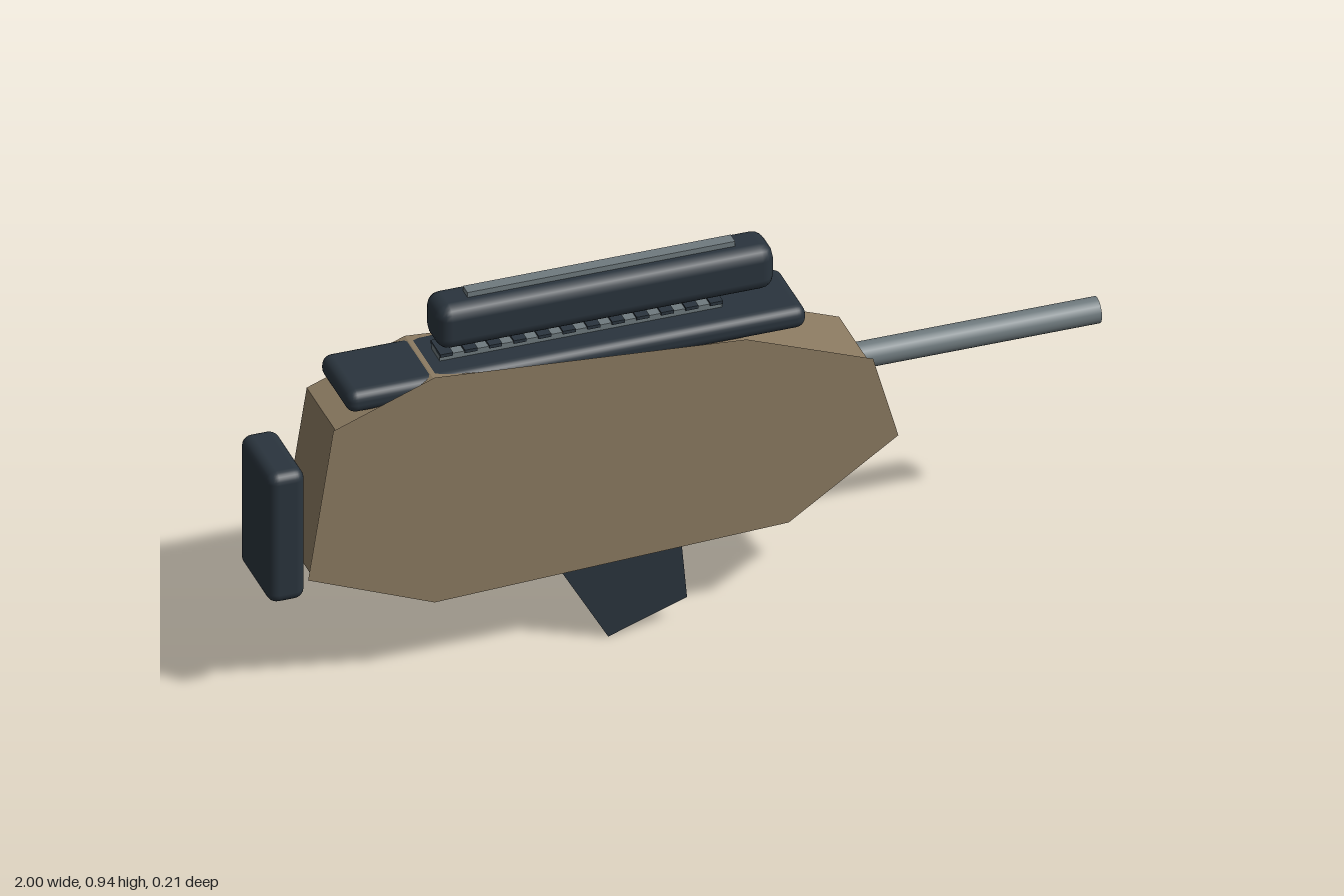
import * as THREE from 'three';
import { RoundedBoxGeometry } from 'three/addons/geometries/RoundedBoxGeometry.js';

const tan = new THREE.MeshStandardMaterial({ name: 'tan shell', color: 0x8b7a61 });
const dark = new THREE.MeshStandardMaterial({ name: 'dark polymer', color: 0x2a343d });
const metal = new THREE.MeshStandardMaterial({ name: 'grey metal', color: 0x6f7a7e });

// Moves every edge of a convex, counter-clockwise outline inward by d
function inset(points, d) {
  const n = points.length;
  return points.map(([x, y], i) => {
    const [px, py] = points[(i + n - 1) % n];
    const [qx, qy] = points[(i + 1) % n];
    const a = new THREE.Vector2(py - y, x - px).normalize();
    const b = new THREE.Vector2(y - qy, qx - x).normalize();
    const k = d / (1 + a.dot(b));
    return [x + (a.x + b.x) * k, y + (a.y + b.y) * k];
  });
}

// Slab with a flared front rim and a chamfered back rim, flat faces throughout
function slab(points, half, rim) {
  const sections = [[-half, 1.8], [-half + rim, 1], [half - rim, 1], [half, 0]];
  const rings = sections.map(([z, k]) => inset(points, k * rim).map(([x, y]) => [x, y, z]));
  const n = points.length;
  const pos = [];
  const tri = (a, b, c) => pos.push(...a, ...b, ...c);
  for (let s = 0; s < rings.length - 1; s++) {
    for (let i = 0; i < n; i++) {
      const j = (i + 1) % n;
      tri(rings[s][i], rings[s][j], rings[s + 1][j]);
      tri(rings[s][i], rings[s + 1][j], rings[s + 1][i]);
    }
  }
  const back = rings[0], front = rings[rings.length - 1];
  for (let i = 1; i < n - 1; i++) {
    tri(front[0], front[i], front[i + 1]);
    tri(back[0], back[i + 1], back[i]);
  }
  const geo = new THREE.BufferGeometry();
  geo.setAttribute('position', new THREE.Float32BufferAttribute(pos, 3));
  geo.computeVertexNormals();
  return geo;
}

export function createModel() {
  const model = new THREE.Group();
  const add = (name, geo, mat, x = 0, y = 0, z = 0) => {
    const mesh = new THREE.Mesh(geo, mat);
    mesh.name = name;
    mesh.position.set(x, y, z);
    model.add(mesh);
    return mesh;
  };

  // Faceted main shell
  add('body', slab([
    [-0.91, 0.33], [-0.61, 0.208], [0.23, 0.24], [0.49, 0.415],
    [0.43, 0.63], [0.13, 0.745], [-0.61, 0.802], [-0.85, 0.712],
  ], 0.106, 0.01), tan);

  // Slanted grip below
  add('grip', slab([
    [-0.325, 0.25], [-0.185, 0.005], [0.002, 0.07], [-0.015, 0.26],
  ], 0.069, 0.009), dark);

  // Rounded dark parts
  add('buttPad', new RoundedBoxGeometry(0.088, 0.34, 0.204, 3, 0.025), dark, -0.956, 0.446);
  add('topPlate', new RoundedBoxGeometry(1.09, 0.056, 0.194, 3, 0.024), dark, -0.266, 0.763);
  add('scope', new RoundedBoxGeometry(0.8, 0.112, 0.11, 2, 0.032), dark, -0.18, 0.88);

  // Metal strip along the scope
  add('scopeStrip', new THREE.BoxGeometry(0.635, 0.014, 0.03), metal, -0.182, 0.942);

  // Toothed mounting rail
  add('rail', new THREE.BoxGeometry(0.67, 0.02, 0.056), metal, -0.235, 0.795);
  const toothGeo = new THREE.BoxGeometry(0.03, 0.008, 0.066);
  for (let i = 0; i < 12; i++) add('railTooth', toothGeo, dark, -0.555 + i * 0.0582, 0.806);

  // Barrel
  const barrel = add('barrel', new THREE.CylinderGeometry(0.031, 0.031, 0.6, 24), metal, 0.7, 0.575);
  barrel.rotation.z = -Math.PI / 2;

  return model;
}
